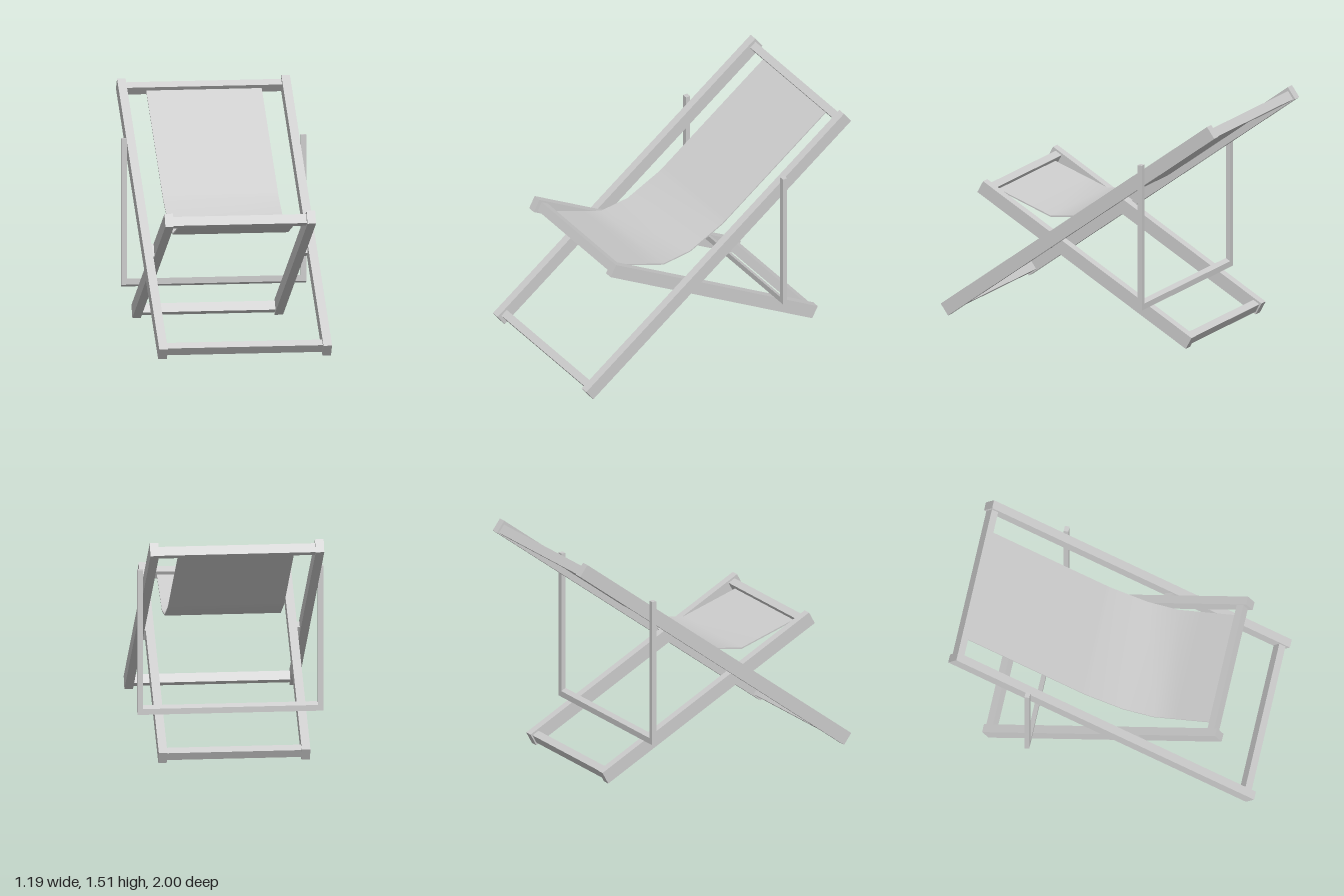
import * as THREE from 'three';
import { toCreasedNormals } from 'three/addons/utils/BufferGeometryUtils.js';

const material = new THREE.MeshStandardMaterial({ color: 0xcccccc });

function addMesh(parent, name, geometry) {
  const mesh = new THREE.Mesh(geometry, material);
  mesh.name = name;
  parent.add(mesh);
  return mesh;
}

// Box centred at (x, y, z), tilted about the x axis
function addBeam(parent, name, [w, h, l], [x, y, z], tilt = 0) {
  const mesh = addMesh(parent, name, new THREE.BoxGeometry(w, h, l));
  mesh.position.set(x, y, z);
  mesh.rotation.x = tilt;
  return mesh;
}

// Side profile given as [z, y] points, extruded across x and centred
function crossExtrude(points, width) {
  const shape = new THREE.Shape(points.map(([z, y]) => new THREE.Vector2(z, y)));
  const geometry = new THREE.ExtrudeGeometry(shape, { depth: width, bevelEnabled: false });
  return geometry.translate(0, 0, -width / 2).rotateY(-Math.PI / 2);
}

// Two side beams from front to back ([z, y] ends), joined by rails
function makeFrame(name, front, back, barX, thickness, rails) {
  const frame = new THREE.Group();
  frame.name = name;
  const dz = front[0] - back[0], dy = front[1] - back[1];
  const tilt = -Math.atan2(dy, dz);
  const y = (front[1] + back[1]) / 2, z = (front[0] + back[0]) / 2;
  for (const [side, s] of [['left', 1], ['right', -1]]) {
    addBeam(frame, side + 'Beam', [0.055, thickness, Math.hypot(dz, dy)], [s * barX, y, z], tilt);
  }
  for (const [railName, rz, ry] of rails) {
    addBeam(frame, railName, [2 * barX - 0.055, 0.061, 0.05], [0, ry, rz], tilt);
  }
  return { frame, tilt };
}

export function createModel() {
  const model = new THREE.Group();
  model.name = 'deckChair';

  // Long frame carrying the backrest
  const long = makeFrame('backFrame', [0.972, 0.045], [-0.97, 1.485], 0.528, 0.089,
    [['footRail', 0.931, 0.071], ['headRail', -0.943, 1.456]]);
  // Short frame carrying the seat
  const short = makeFrame('seatFrame', [0.75, 0.872], [-0.77, 0.045], 0.457, 0.088,
    [['frontRail', 0.703, 0.848], ['rearRail', -0.74, 0.062]]);
  model.add(long.frame, short.frame);

  // Pivot spacers between the two frames
  for (const [side, s] of [['left', 1], ['right', -1]]) {
    addBeam(model, side + 'PivotSpacer', [0.017, 0.085, 0.05], [s * 0.4925, 0.589, 0.228], short.tilt);
  }

  // Prop: two uprights and a crossbar cut to the slope of the seat frame
  const prop = new THREE.Group();
  prop.name = 'backProp';
  model.add(prop);
  const z0 = -0.49, z1 = -0.459;
  for (const [side, s] of [['left', 1], ['right', -1]]) {
    const upright = crossExtrude([[z0, 0.252], [z1, 0.268], [z1, 1.21], [z0, 1.21]], 0.036);
    addMesh(prop, side + 'Upright', upright).position.x = s * 0.577;
  }
  addMesh(prop, 'crossbar', crossExtrude([[z0, 0.252], [z1, 0.268], [z1, 0.307], [z0, 0.29]], 1.12));

  // Sling of fabric hanging between the head rail and the front rail
  const top = [[-0.92, 1.443], [-0.17, 0.887], [-0.14, 0.866], [0.1, 0.744], [0.3, 0.715], [0.45, 0.764], [0.682, 0.84]];
  const under = top.map(([z, y]) => [z, y - 0.009]).reverse();
  const sling = toCreasedNormals(crossExtrude([...under.reverse(), ...top.slice().reverse()], 0.742), 0.6);
  addMesh(model, 'fabricSling', sling);

  return model;
}
